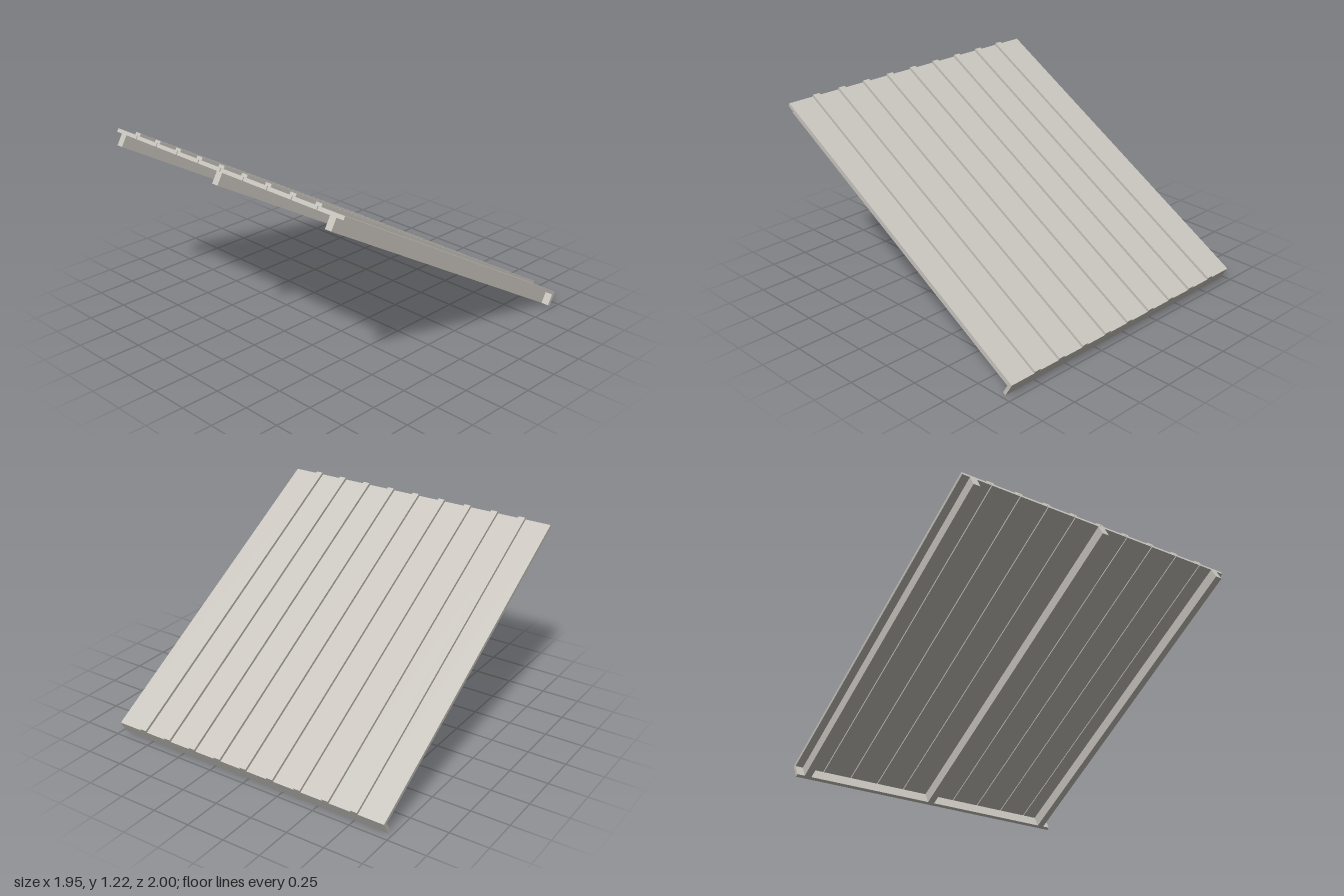
import * as THREE from 'three';

export function createModel() {
  const model = new THREE.Group();
  model.name = 'roofSlope';
  const material = new THREE.MeshStandardMaterial({ color: 0xc9c5be });
  material.name = 'warm grey';

  // Pitched frame: local z runs up the slope from the eave, local y is its normal
  const slope = new THREE.Group();
  slope.name = 'pitchedPanel';
  slope.position.set(0, 0, -0.942);
  slope.rotation.x = -Math.PI / 6;
  model.add(slope);

  const length = 2.243, width = 1.946;
  const rafterTop = 0.076, sheetTop = 0.099, ribTop = 0.117;
  const fascia = 0.022;

  function beam(name, x, w, y0, y1, z0, z1) {
    const mesh = new THREE.Mesh(new THREE.BoxGeometry(w, y1 - y0, z1 - z0), material);
    mesh.name = name;
    mesh.position.set(x, (y0 + y1) / 2, (z0 + z1) / 2);
    slope.add(mesh);
  }

  // Roofing sheets with narrow seams between them
  const count = 10, pitch = width / count, gap = 0.006;
  for (let i = 0; i < count; i++) {
    const left = -width / 2 + i * pitch + (i > 0 ? gap / 2 : 0);
    const right = -width / 2 + (i + 1) * pitch - (i < count - 1 ? gap / 2 : 0);
    beam('roofSheet', (left + right) / 2, right - left, rafterTop, sheetTop, fascia, length);
  }

  // Raised battens covering the seams
  for (let i = 1; i < count; i++) {
    beam('seamBatten', -width / 2 + i * pitch, 0.046, sheetTop, ribTop, 0, length);
  }

  // Rafters beneath the sheets
  for (const x of [-0.9, 0, 0.9]) {
    beam('rafter', x, 0.046, 0, rafterTop, fascia, length);
  }

  // Eave board closing the low end
  beam('eaveBoard', 0, width, 0, sheetTop, 0, fascia);

  return model;
}
